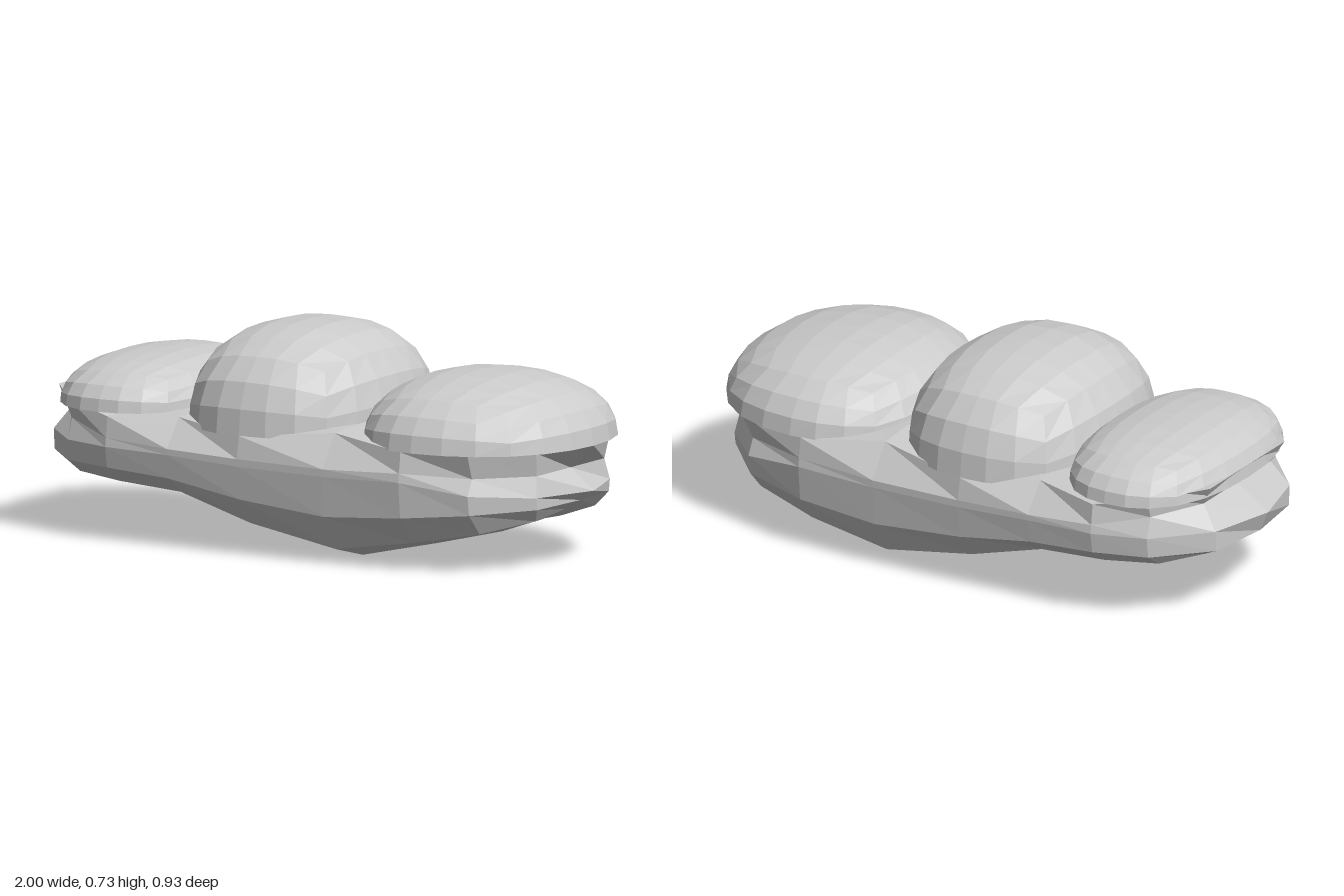
import * as THREE from 'three';

const material = new THREE.MeshStandardMaterial({ color: 0xcccccc, flatShading: true });

// Half plan outline, from the +x tip round the front to the -x tip
const planX = [1, 0.92, 0.76, 0.53, 0.24, -0.09, -0.36, -0.6, -0.78, -0.94, -1];
const planZ = [0, 0.23, 0.40, 0.46, 0.465, 0.465, 0.465, 0.46, 0.40, 0.23, 0];

// Each ring: x limits, depth scale (one or per column), height per column
const rings = [
  // keel line, raised into a groove under the +x half
  { lo: -0.80, hi: 0.84, d: 0, y: [0.18, 0.18, 0.175, 0.17, 0.14, 0.07, 0.18, 0.19, 0.2, 0.2, 0.2] },
  // twin ridges beside the groove
  { lo: -0.84, hi: 0.87, d: 0.455, y: [0.17, 0.16, 0.12, 0.065, 0, 0.07, 0.178, 0.186, 0.2, 0.205, 0.205] },
  // bilge
  { lo: -0.87, hi: 0.89, d: 0.81, y: [0.18, 0.165, 0.13, 0.088, 0.042, 0.1, 0.18, 0.195, 0.205, 0.21, 0.21] },
  // lower side
  { lo: -0.97, hi: 0.95, d: 0.975, y: [0.215, 0.21, 0.2, 0.18, 0.16, 0.19, 0.235, 0.25, 0.25, 0.25, 0.25] },
  // lower lip
  { lo: -1, hi: 1, d: 1, y: [0.25, 0.25, 0.265, 0.3, 0.295, 0.3, 0.315, 0.32, 0.32, 0.32, 0.32] },
  // inside of the end grooves
  { lo: -0.88, hi: 0.91, d: [1, 0.92, 0.93, 0.99, 1, 1, 1, 0.99, 0.94, 0.9, 1],
    y: [0.32, 0.32, 0.32, 0.33, 0.32, 0.325, 0.335, 0.35, 0.39, 0.4, 0.4] },
  // upper lip, pinched in between the domes
  { lo: -0.92, hi: 1, d: [1, 1, 1, 0.97, 0.83, 0.97, 0.83, 0.97, 0.99, 1, 1],
    y: [0.4, 0.4, 0.4, 0.4, 0.43, 0.4, 0.43, 0.42, 0.455, 0.47, 0.47] },
  // deck line beneath the domes
  { lo: -0.86, hi: 0.9, d: 0, y: [0.41, 0.41, 0.41, 0.42, 0.45, 0.45, 0.45, 0.45, 0.47, 0.47, 0.47] },
];

function hullGeometry() {
  const half = planX.length, around = 2 * (half - 1);
  const positions = [], index = [];
  for (const ring of rings) {
    for (let k = 0; k < around; k++) {
      const i = k < half ? k : around - k;
      const depth = Array.isArray(ring.d) ? ring.d[i] : ring.d;
      const x = Math.min(ring.hi, Math.max(ring.lo, planX[i]));
      positions.push(x, ring.y[i], planZ[i] * depth * (k < half ? 1 : -1));
    }
  }
  for (let r = 0; r < rings.length - 1; r++) {
    for (let k = 0; k < around; k++) {
      const a = r * around + k, b = r * around + (k + 1) % around;
      index.push(a, a + around, b + around, a, b + around, b);
    }
  }
  const geometry = new THREE.BufferGeometry();
  geometry.setAttribute('position', new THREE.Float32BufferAttribute(positions, 3));
  geometry.setIndex(index);
  geometry.computeVertexNormals();
  return geometry;
}

// Half of a rounded box, with separate reach to either side of its centre
function domeGeometry({ x, y, left, right, height, depth, power }) {
  const geometry = new THREE.BoxGeometry(2, 1, 2, 6, 3, 6).translate(0, 0.5, 0);
  const p = geometry.attributes.position;
  const spread = (v) => Math.tan(v * Math.PI / 4);
  for (let i = 0; i < p.count; i++) {
    const v = [p.getX(i), p.getY(i), p.getZ(i)].map(spread);
    // reach is 1 on the dome and less inside the flat base
    const reach = Math.max(...v.map(Math.abs));
    const norm = v.reduce((s, c) => s + Math.abs(c) ** power, 0) ** (1 / power);
    const scale = norm > 0 ? reach / norm : 0;
    const [a, b, c] = v.map((q) => q * scale);
    p.setXYZ(i, x + a * (a > 0 ? left : right), y + b * height, c * depth);
  }
  geometry.computeVertexNormals();
  return geometry;
}

export function createModel() {
  const model = new THREE.Group();
  model.name = 'threeDomedShell';
  const add = (name, geometry) => {
    const mesh = new THREE.Mesh(geometry, material);
    mesh.name = name;
    model.add(mesh);
  };
  add('hull', hullGeometry());
  add('leftDome', domeGeometry({ x: 0.57, y: 0.4, left: 0.43, right: 0.35, height: 0.22, depth: 0.45, power: 2.2 }));
  add('middleDome', domeGeometry({ x: -0.09, y: 0.4, left: 0.36, right: 0.35, height: 0.33, depth: 0.45, power: 2.4 }));
  add('rightDome', domeGeometry({ x: -0.64, y: 0.43, left: 0.27, right: 0.285, height: 0.157, depth: 0.44, power: 2.4 }));
  return model;
}
